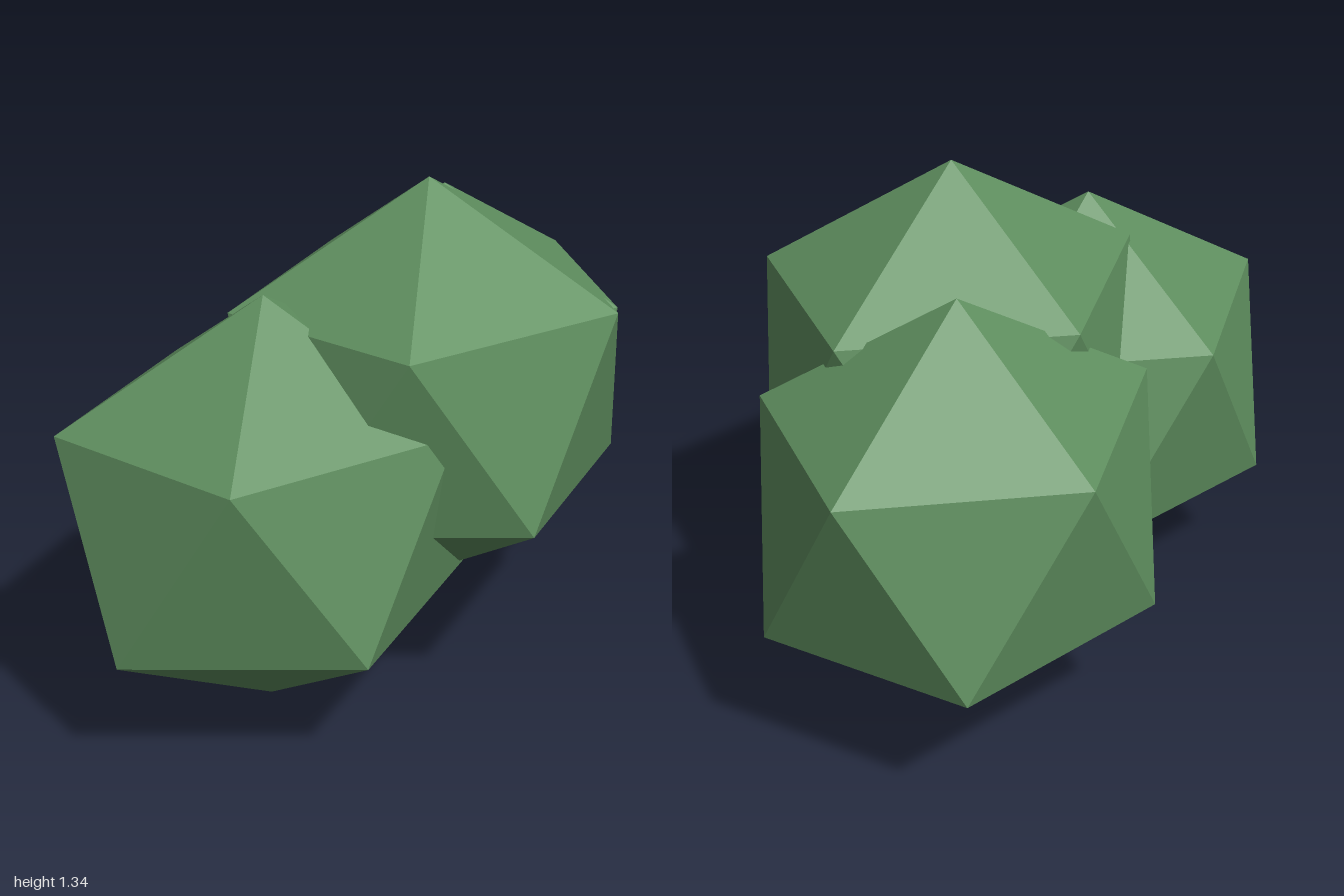
import * as THREE from 'three';

// Icosahedron standing on one corner, with an upper-ring corner pointing to +x
function lobeGeometry() {
  const golden = (1 + Math.sqrt(5)) / 2;
  const geometry = new THREE.IcosahedronGeometry(1, 0);
  geometry.rotateZ(-Math.atan(1 / golden));
  geometry.scale(0.62, 0.56, 0.558);
  geometry.computeVertexNormals();
  return geometry;
}

export function createModel() {
  const bush = new THREE.Group();
  bush.name = 'bush';
  const geometry = lobeGeometry();
  const material = new THREE.MeshStandardMaterial({ color: 0x5f8f5f, flatShading: true });

  // Three overlapping clumps of foliage
  const lobes = [
    ['rightFoliage', -0.445, 0.563, -0.018],
    ['middleFoliage', 0.027, 0.786, 0.132],
    ['leftFoliage', 0.442, 0.625, -0.135],
  ];
  for (const [name, x, y, z] of lobes) {
    const lobe = new THREE.Mesh(geometry, material);
    lobe.name = name;
    lobe.position.set(x, y, z);
    bush.add(lobe);
  }
  return bush;
}
